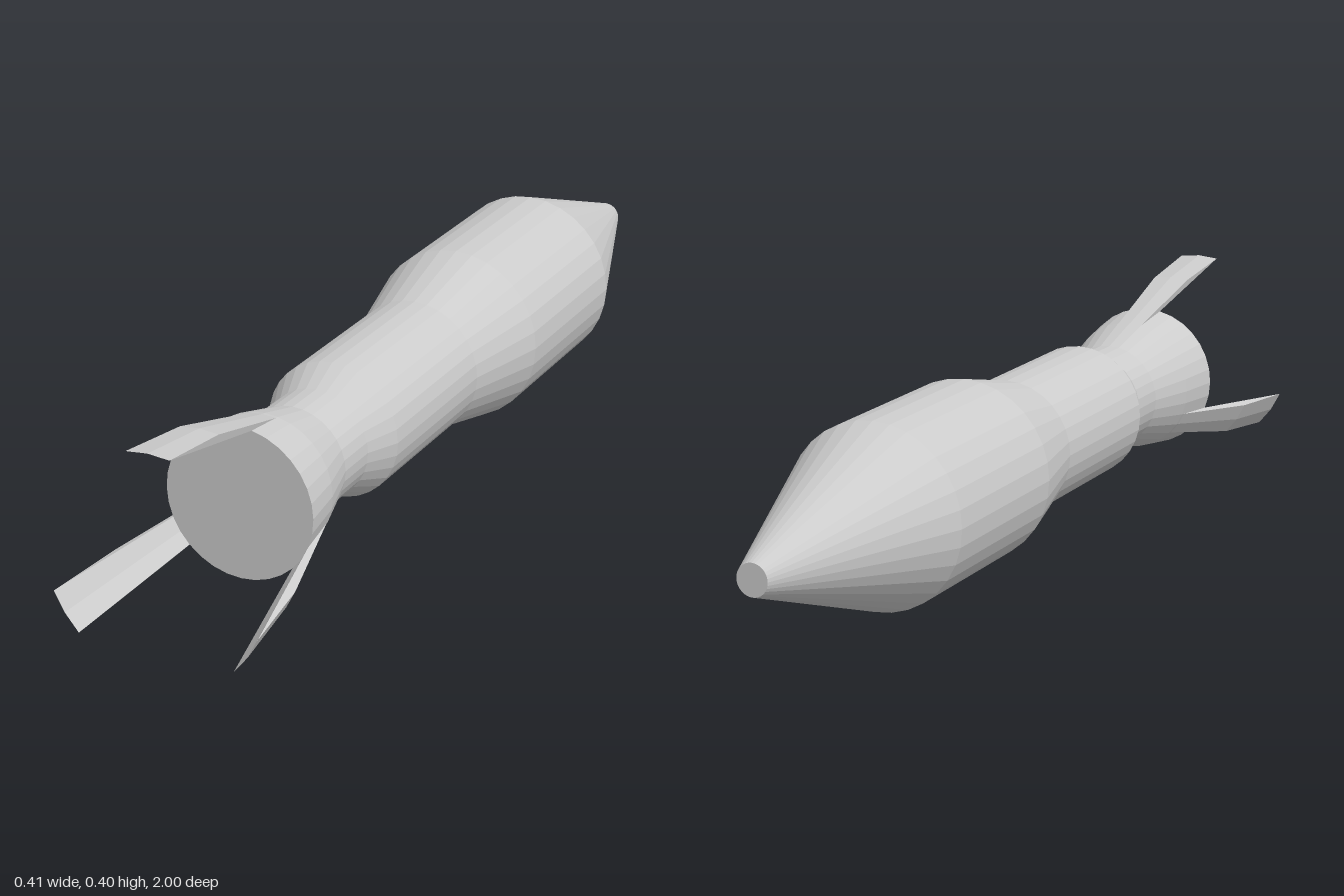
import * as THREE from 'three';

const SIDES = 32;
const AXIS_Y = 0.182;
const STEP = (Math.PI * 2) / SIDES;

const grey = new THREE.MeshStandardMaterial({ color: 0xcccccc, flatShading: true });
const thinGrey = new THREE.MeshStandardMaterial({ color: 0xcccccc, flatShading: true, side: THREE.DoubleSide });

const toPoints = (list) => list.map(([r, z]) => new THREE.Vector2(r, z));

// Fin: a two-facet wedge swept around the axis, tapering to a sharp rear edge
function makeFin(name, angle) {
  const profile = toPoints([[0.137, 0.6], [0.2, 0.83], [0.222, 1], [0.152, 0.7]]);
  const fin = new THREE.Group();
  fin.name = name;

  const skin = new THREE.Mesh(new THREE.LatheGeometry(profile, 2, angle - STEP, STEP * 2), thinGrey);
  skin.name = 'finSkin';
  fin.add(skin);

  // flat cheeks closing both sides
  for (const side of [-1, 1]) {
    const cheek = new THREE.Mesh(new THREE.ShapeGeometry(new THREE.Shape(profile)), thinGrey);
    cheek.name = 'finCheek';
    cheek.rotation.y = angle + side * STEP - Math.PI / 2;
    fin.add(cheek);
  }
  return fin;
}

export function createModel() {
  const model = new THREE.Group();
  model.name = 'rocket';

  // everything is turned about the long axis, nose first, then laid along z
  const rocket = new THREE.Group();
  rocket.name = 'rocketBody';
  rocket.rotation.x = Math.PI / 2;
  rocket.position.y = AXIS_Y;
  model.add(rocket);

  // Each section is [name, [radius, z] profile]
  const sections = [
    ['noseCone', [[0, -1], [0.031, -1], [0.182, -0.57]]],
    ['warhead', [[0.182, -0.57], [0.182, -0.2], [0.139, -0.01]]],
    ['motorTube', [[0.139, -0.01], [0.139, 0.34], [0.109, 0.405]]],
    ['tailNeck', [[0.109, 0.405], [0.109, 0.495]]],
    ['tailNozzle', [[0.109, 0.495], [0.138, 0.6], [0.152, 0.7], [0, 0.7]]],
  ];
  for (const [name, profile] of sections) {
    const mesh = new THREE.Mesh(new THREE.LatheGeometry(toPoints(profile), SIDES), grey);
    mesh.name = name;
    rocket.add(mesh);
  }

  // Three tail fins, each aligned with a pair of body facets
  rocket.add(makeFin('topFin', Math.PI));
  rocket.add(makeFin('leftFin', STEP * 5));
  rocket.add(makeFin('rightFin', -STEP * 5));

  return model;
}
